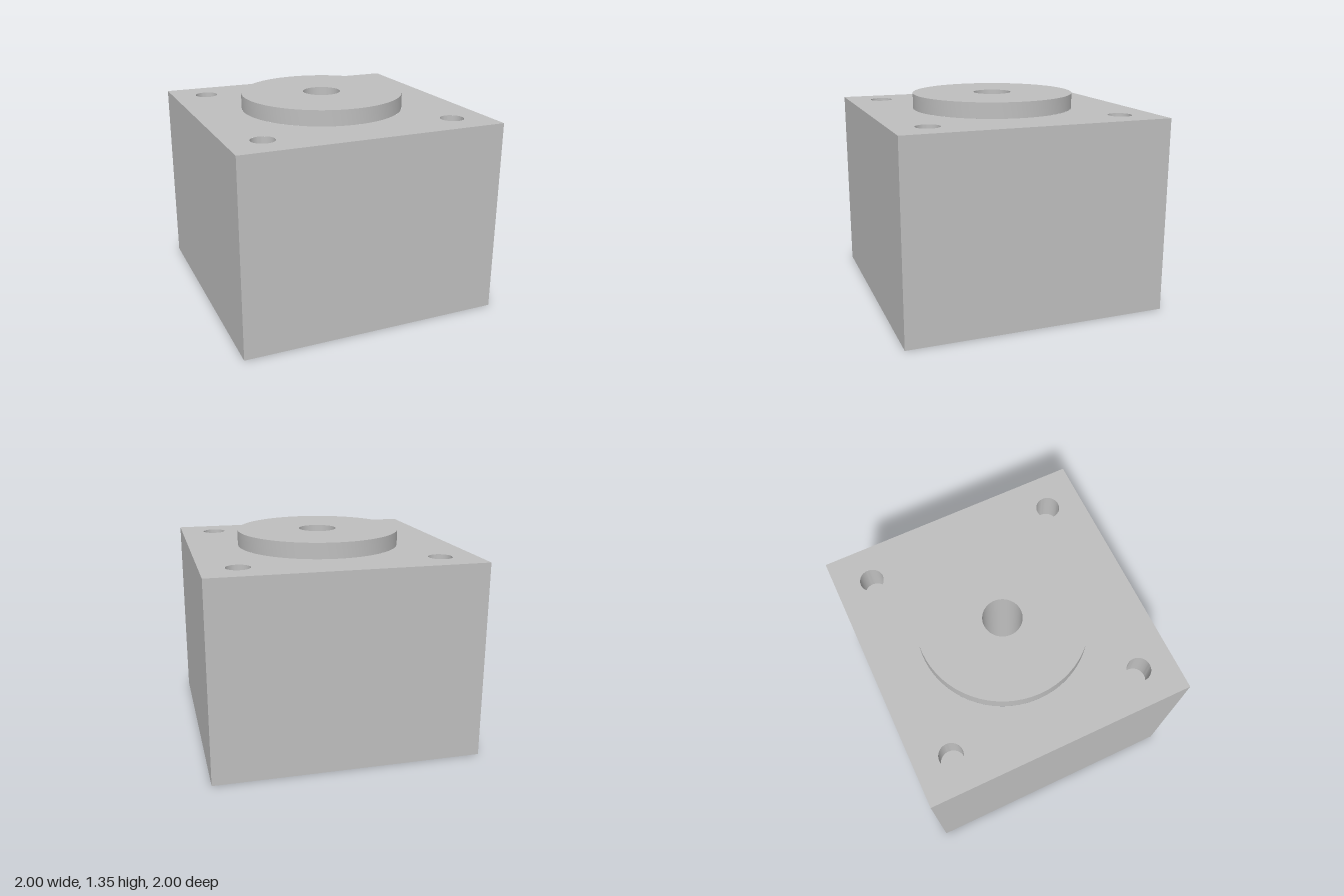
import * as THREE from 'three';
import { toCreasedNormals } from 'three/addons/utils/BufferGeometryUtils.js';

const HALF = 0.849, HEIGHT = 1.25, TOP = 1.35;
const BORE = 0.123, BOSS = 0.53, BOLT = 0.075, BOLT_POS = 0.622, BOLT_DEPTH = 0.2;

export function createModel() {
  const group = new THREE.Group();
  group.name = 'motorBlock';
  const grey = new THREE.MeshStandardMaterial({ color: 0xbfbfbf });
  grey.name = 'plain grey';

  const add = (name, geometry) => {
    const mesh = new THREE.Mesh(geometry, grey);
    mesh.name = name;
    group.add(mesh);
    return mesh;
  };
  const lathe = (points, segments) => toCreasedNormals(
    new THREE.LatheGeometry(points.map(([r, y]) => new THREE.Vector2(r, y)), segments), Math.PI / 6);

  // Square plate outline with round openings [x, y, radius]
  const plate = (holes) => {
    const shape = new THREE.Shape();
    shape.moveTo(-HALF, -HALF).lineTo(HALF, -HALF).lineTo(HALF, HALF).lineTo(-HALF, HALF).closePath();
    for (const [x, y, r] of holes) {
      shape.holes.push(new THREE.Path().absarc(x, y, r, 0, Math.PI * 2, true));
    }
    return new THREE.ShapeGeometry(shape, 64);
  };

  const bolts = [];
  for (const sx of [-1, 1]) for (const sz of [-1, 1]) bolts.push([sx * BOLT_POS, sz * BOLT_POS]);

  // Block: four walls, pierced top and bottom
  const walls = new THREE.CylinderGeometry(
    HALF * Math.SQRT2, HALF * Math.SQRT2, HEIGHT, 4, 1, true, Math.PI / 4);
  add('blockWalls', toCreasedNormals(walls.translate(0, HEIGHT / 2, 0), Math.PI / 6));
  add('blockTop', plate([[0, 0, BOSS], ...bolts.map(([x, z]) => [x, z, BOLT])])
    .rotateX(-Math.PI / 2).translate(0, HEIGHT, 0));
  add('blockBottom', plate([[0, 0, BORE]]).rotateX(Math.PI / 2));

  // Raised round boss, continuing down as the through bore
  add('bossAndBore', lathe([[BOSS, HEIGHT], [BOSS, TOP], [BORE, TOP], [BORE, 0]], 64));

  // Blind bolt holes in the corners
  for (const [x, z] of bolts) {
    add('boltHole', lathe([[BOLT, HEIGHT], [BOLT, HEIGHT - BOLT_DEPTH], [0, HEIGHT - BOLT_DEPTH]], 64))
      .position.set(x, 0, z);
  }

  // Whole block sits slightly turned
  group.rotation.y = 0.1986;
  return group;
}
